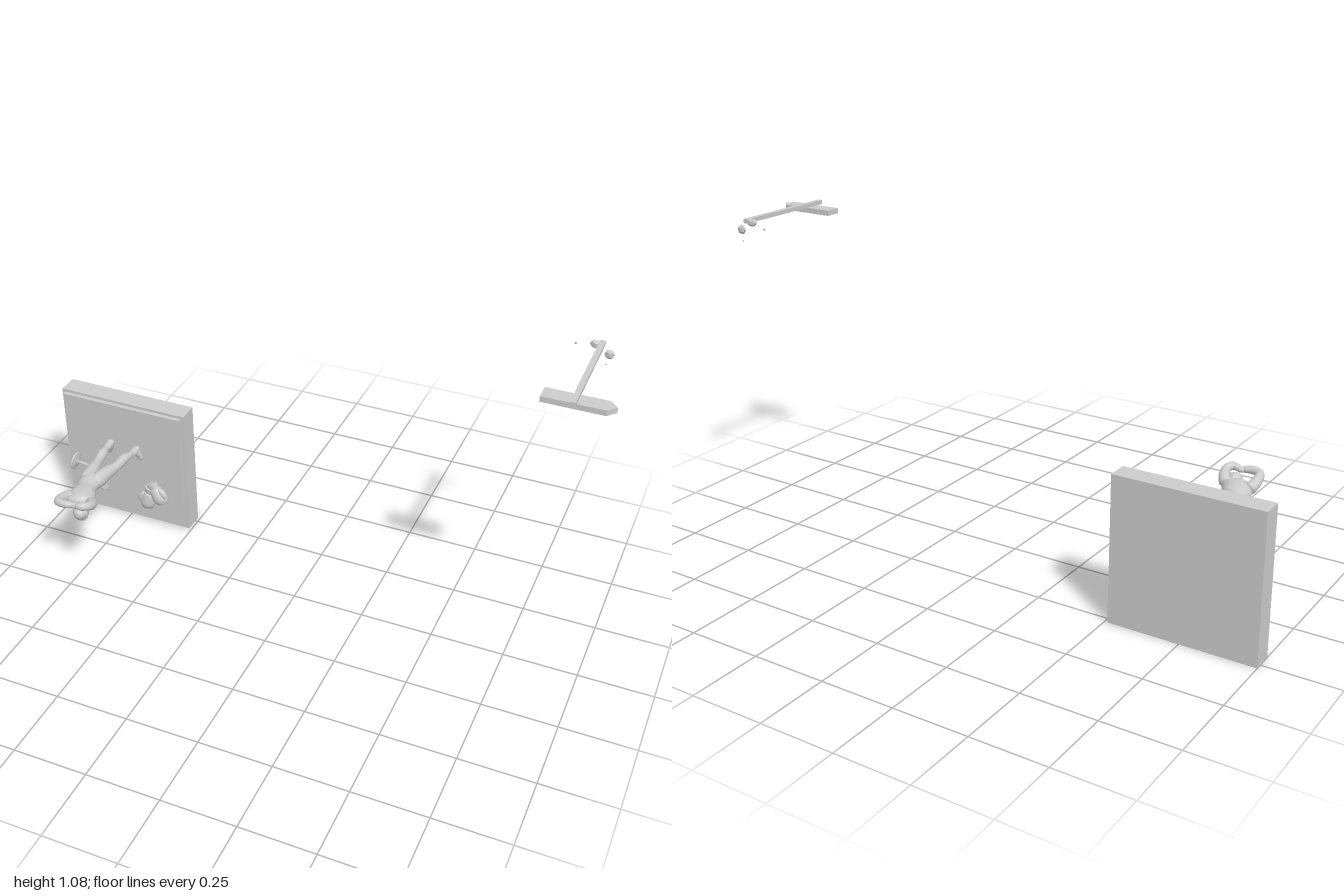
import * as THREE from 'three';
import { mergeVertices } from 'three/addons/utils/BufferGeometryUtils.js';

const material = new THREE.MeshStandardMaterial({ color: 0xcccccc });
const flat = new THREE.MeshStandardMaterial({ color: 0xcccccc, flatShading: true });

function part(parent, name, geometry, x = 0, y = 0, z = 0, mat = material) {
  const mesh = new THREE.Mesh(geometry, mat);
  mesh.name = name;
  mesh.position.set(x, y, z);
  parent.add(mesh);
  return mesh;
}

function ball(parent, name, x, y, z, sx, sy, sz) {
  const mesh = part(parent, name, new THREE.SphereGeometry(1, 20, 14), x, y, z);
  mesh.scale.set(sx, sy, sz);
  return mesh;
}

// Rounded limb through rows of [x, y, z, radius across x, radius across y]
function limb(rows, segments = 36, sides = 16) {
  const path = new THREE.CatmullRomCurve3(rows.map(r => new THREE.Vector3(r[0], r[1], r[2])));
  const radii = new THREE.CatmullRomCurve3(rows.map(r => new THREE.Vector3(r[3], r[4] ?? r[3], 0)));
  const geo = new THREE.TubeGeometry(path, segments, 1, sides);
  const pos = geo.attributes.position;
  const v = new THREE.Vector3();
  for (let i = 0; i <= segments; i++) {
    const u = i / segments;
    const centre = path.getPointAt(u);
    const r = radii.getPoint(path.getUtoTmapping(u));
    const cap = Math.min(1, Math.sqrt(Math.min(u, 1 - u) / 0.07) + 0.001);
    for (let j = 0; j <= sides; j++) {
      const k = i * (sides + 1) + j;
      v.fromBufferAttribute(pos, k).sub(centre);
      v.set(v.x * r.x, v.y * r.y, v.z * (r.x + r.y) / 2).multiplyScalar(cap).add(centre);
      pos.setXYZ(k, v.x, v.y, v.z);
    }
  }
  geo.deleteAttribute('uv');
  geo.deleteAttribute('normal');
  const welded = mergeVertices(geo, 1e-6);
  welded.computeVertexNormals();
  return welded;
}

// Standing athlete: head toward +z, face toward -y
function makeFigure() {
  const g = new THREE.Group();
  g.name = 'athlete';
  part(g, 'torso', limb([
    [-0.748, 0.322, 0.03, 0.030, 0.024], [-0.747, 0.322, 0.06, 0.040, 0.029],
    [-0.739, 0.322, 0.105, 0.036, 0.027], [-0.727, 0.325, 0.15, 0.048, 0.031],
    [-0.714, 0.328, 0.185, 0.051, 0.029], [-0.702, 0.328, 0.208, 0.028, 0.022],
  ]));
  part(g, 'neck', limb([[-0.71, 0.328, 0.18, 0.018], [-0.69, 0.326, 0.225, 0.016]], 8));

  // Head with hair and headband
  ball(g, 'head', -0.682, 0.322, 0.233, 0.023, 0.026, 0.029);
  ball(g, 'hair', -0.682, 0.328, 0.239, 0.024, 0.024, 0.027);
  ball(g, 'nose', -0.682, 0.297, 0.230, 0.004, 0.005, 0.006);
  const band = part(g, 'headband', new THREE.TorusGeometry(0.0245, 0.003, 8, 28), -0.682, 0.323, 0.24);
  band.scale.z = 1.8;

  // Legs apart, with boots and toes turned out
  for (const s of [-1, 1]) {
    const x = d => -0.746 + s * d;
    part(g, 'leg', limb([
      [x(0.014), 0.323, 0.08, 0.022, 0.025], [x(0.020), 0.322, 0.045, 0.026, 0.029],
      [x(0.027), 0.322, 0.0, 0.023, 0.026], [x(0.038), 0.322, -0.055, 0.0165, 0.018],
      [x(0.043), 0.327, -0.095, 0.0175, 0.018], [x(0.050), 0.324, -0.135, 0.011, 0.012],
      [x(0.053), 0.323, -0.17, 0.012, 0.012],
    ]));
    const ankle = part(g, 'ankleCuff', new THREE.CylinderGeometry(0.0145, 0.0135, 0.028, 16), x(0.052), 0.323, -0.147);
    ankle.rotation.x = Math.PI / 2;
    part(g, 'foot', limb([
      [x(0.051), 0.337, -0.171, 0.013, 0.012], [x(0.054), 0.316, -0.171, 0.013, 0.013],
      [x(0.061), 0.294, -0.177, 0.012, 0.008], [x(0.067), 0.276, -0.180, 0.009, 0.006],
    ], 20));
  }

  // Arms raised, elbows up and hands behind the head
  const arms = [
    [[-0.755, 0.332, 0.17], [-0.764, 0.347, 0.212], [-0.757, 0.361, 0.253], [-0.728, 0.364, 0.261], [-0.695, 0.362, 0.252]],
    [[-0.675, 0.332, 0.18], [-0.656, 0.347, 0.210], [-0.652, 0.361, 0.238], [-0.666, 0.366, 0.255], [-0.692, 0.362, 0.252]],
  ];
  const thickness = [0.021, 0.018, 0.0145, 0.0135, 0.010];
  for (const points of arms) {
    part(g, 'arm', limb(points.map((p, i) => [...p, thickness[i]])));
    const [hx, hy, hz] = points[4];
    ball(g, 'hand', hx, hy - 0.001, hz, 0.014, 0.010, 0.012);
  }
  return g;
}

// Dumbbell with tapered disc weights along its own x axis
function makeDumbbell(x, y, angle) {
  const g = new THREE.Group();
  g.name = 'dumbbell';
  const bar = part(g, 'dumbbellBar', new THREE.CylinderGeometry(0.005, 0.005, 0.1, 12));
  bar.rotation.z = Math.PI / 2;
  const profile = [[0, -0.011], [0.01, -0.011], [0.012, -0.006], [0.031, -0.004], [0.034, -0.002],
    [0.034, 0.002], [0.031, 0.004], [0.012, 0.006], [0.01, 0.011], [0, 0.011]];
  for (const s of [-1, 1]) {
    const weight = part(g, 'weight', new THREE.LatheGeometry(profile.map(p => new THREE.Vector2(...p)), 28), s * 0.037);
    weight.rotation.z = Math.PI / 2;
  }
  g.position.set(x, y, -0.151);
  g.rotation.z = angle;
  return g;
}

// Padded glove lying flat: cuff toward +y, thumb toward the given side
function makeGlove(x, y, angle, thumbSide) {
  const g = new THREE.Group();
  g.name = 'glove';
  part(g, 'mitt', limb([
    [0, 0.03, 0, 0.019, 0.018], [0, 0.008, 0.001, 0.025, 0.021],
    [0, -0.018, 0.001, 0.029, 0.022], [0, -0.042, -0.003, 0.022, 0.018],
  ], 24, 20));
  part(g, 'thumb', limb([
    [thumbSide * 0.017, 0.018, 0.004, 0.009], [thumbSide * 0.027, -0.002, 0.007, 0.011],
    [thumbSide * 0.025, -0.024, 0.007, 0.009],
  ], 16, 12));
  const cuff = part(g, 'gloveCuff', new THREE.CylinderGeometry(0.022, 0.019, 0.026, 20), 0, 0.036, 0);
  cuff.scale.z = 0.85;
  g.position.set(x, y, -0.166);
  g.rotation.z = angle;
  return g;
}

// Signpost lying along z, arrow board and loose stones at its foot
function makeSignpost() {
  const g = new THREE.Group();
  g.name = 'signpost';
  part(g, 'post', new THREE.BoxGeometry(0.017, 0.014, 0.375), 0.882, 1.071, -0.084);
  const outline = new THREE.Shape([[0.785, -0.084], [0.975, -0.084], [1, -0.057], [0.975, -0.03], [0.785, -0.03]]
    .map(p => new THREE.Vector2(...p)));
  const board = new THREE.ExtrudeGeometry(outline, { depth: 0.018, bevelEnabled: false });
  board.rotateX(-Math.PI / 2);
  part(g, 'arrowBoard', board, 0, 1.045, 0, flat);
  const stones = [[0.865, 1.067, -0.26, 0.020, 0.014, 0.011], [0.908, 1.039, -0.264, 0.017, 0.016, 0.008],
    [0.901, 1.002, -0.268, 0.003, 0.003, 0.003], [0.803, 1.053, -0.268, 0.005, 0.004, 0.003]];
  for (const [x, y, z, sx, sy, sz] of stones) {
    part(g, 'stone', new THREE.DodecahedronGeometry(1), x, y, z, flat).scale.set(sx, sy, sz);
  }
  return g;
}

export function createModel() {
  const model = new THREE.Group();
  model.name = 'gymScene';
  // Upright square plinth with a thinner mat on its front
  part(model, 'plinth', new THREE.BoxGeometry(0.49, 0.49, 0.072), -0.755, 0.245, -0.236);
  part(model, 'mat', new THREE.BoxGeometry(0.466, 0.466, 0.016), -0.755, 0.247, -0.193);
  model.add(makeFigure());
  model.add(makeDumbbell(-0.907, 0.214, -0.14), makeDumbbell(-0.864, 0.147, 0.36));
  model.add(makeGlove(-0.613, 0.152, 0.55, 1), makeGlove(-0.652, 0.125, -0.25, -1));
  model.add(makeSignpost());
  return model;
}
